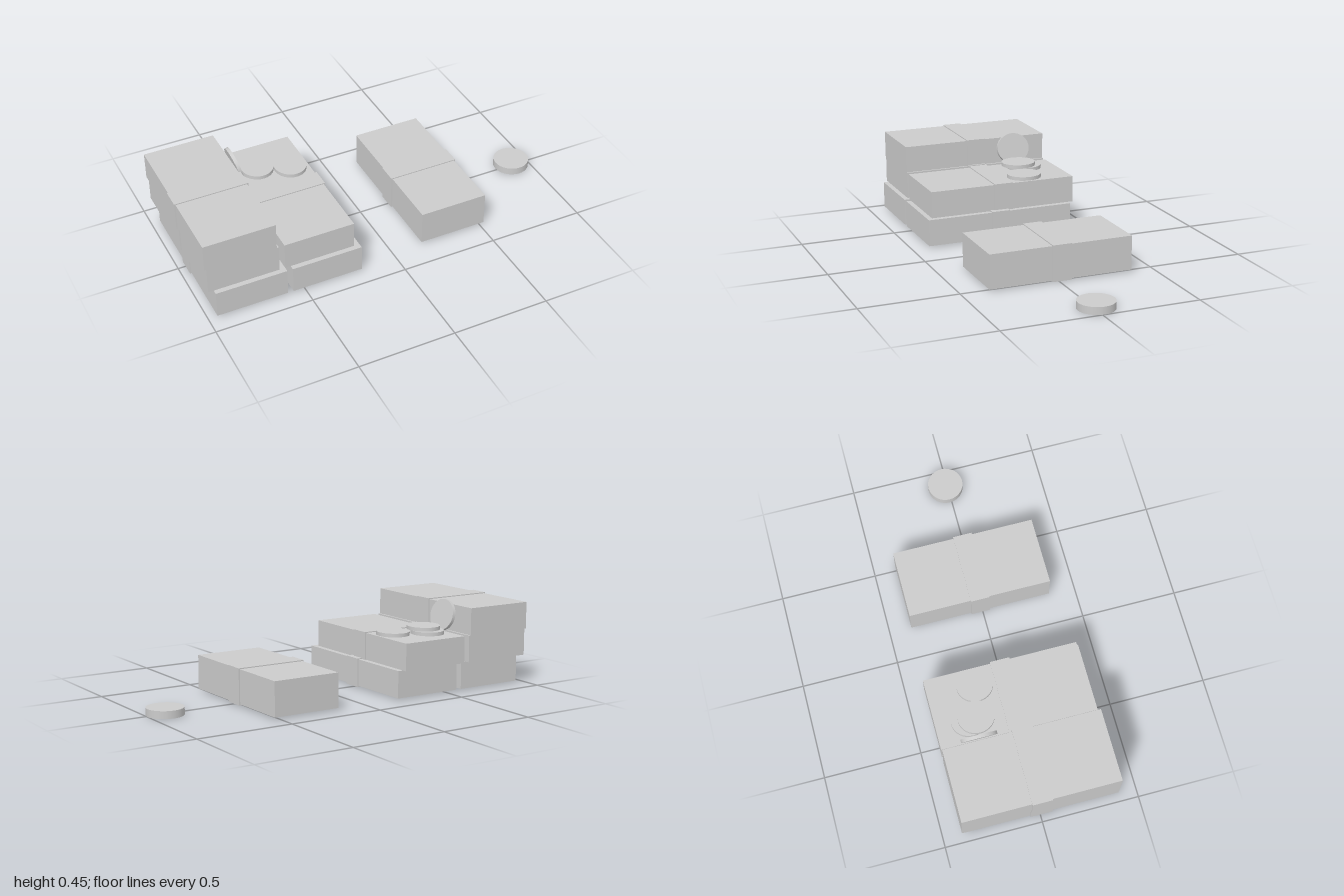
import * as THREE from 'three';

const material = new THREE.MeshStandardMaterial({ color: 0xcccccc });

function addMesh(parent, name, geometry, x, y, z) {
  const mesh = new THREE.Mesh(geometry, material);
  mesh.name = name;
  mesh.position.set(x, y, z);
  parent.add(mesh);
  return mesh;
}

// A block of notes with a paper band wrapped around its middle
function addBundle(parent, name, [x, y, z], [w, h, d]) {
  const bundle = new THREE.Group();
  bundle.name = name;
  bundle.position.set(x, y, z);
  addMesh(bundle, 'notes', new THREE.BoxGeometry(w, h, d), 0, 0, 0);
  addMesh(bundle, 'paperBand', new THREE.BoxGeometry(w + 0.014, h + 0.01, 0.099), 0, 0, 0);
  parent.add(bundle);
}

// A plain disc, slightly oval in x where it belongs to the pile
function addCoin(parent, name, [x, y, z], rx, rz, thickness) {
  const geometry = new THREE.CylinderGeometry(1, 1, thickness, 32);
  geometry.scale(rx, 1, rz);
  return addMesh(parent, name, geometry, x, y, z);
}

export function createModel() {
  const model = new THREE.Group();
  model.name = 'moneyPile';

  // Stacked bundles: two columns on the ground, the right one a layer lower
  const stackSize = [0.366, 0.139, 0.79];
  const stacked = [
    ['bottomBundleA', [-0.772, 0.078, 0.014]],
    ['bottomBundleB', [-0.377, 0.078, 0.014]],
    ['middleBundleA', [-0.8, 0.217, -0.012]],
    ['middleBundleB', [-0.405, 0.217, -0.012]],
    ['topBundleA', [-0.81, 0.356, -0.012]],
  ];
  for (const [name, position] of stacked) addBundle(model, name, position, stackSize);

  // Separate thicker bundle
  addBundle(model, 'singleBundle', [0.344, 0.0965, -0.012], [0.358, 0.175, 0.745]);

  // Coins lying on the lower column
  addCoin(model, 'lowerCoinA', [-0.48, 0.296, -0.237], 0.083, 0.091, 0.019);
  addCoin(model, 'lowerCoinB', [-0.315, 0.296, -0.166], 0.083, 0.091, 0.019);
  addCoin(model, 'upperCoin', [-0.48, 0.315, -0.202], 0.083, 0.091, 0.019);

  // Coin leaning against the taller column
  const leaning = addCoin(model, 'leaningCoin', [-0.594, 0.369, -0.217], 0.081, 0.091, 0.017);
  leaning.rotation.z = -Math.PI / 2 + 0.245;

  // Separate coin on the ground
  addCoin(model, 'singleCoin', [0.906, 0.019, -0.012], 0.093, 0.093, 0.038);

  return model;
}
